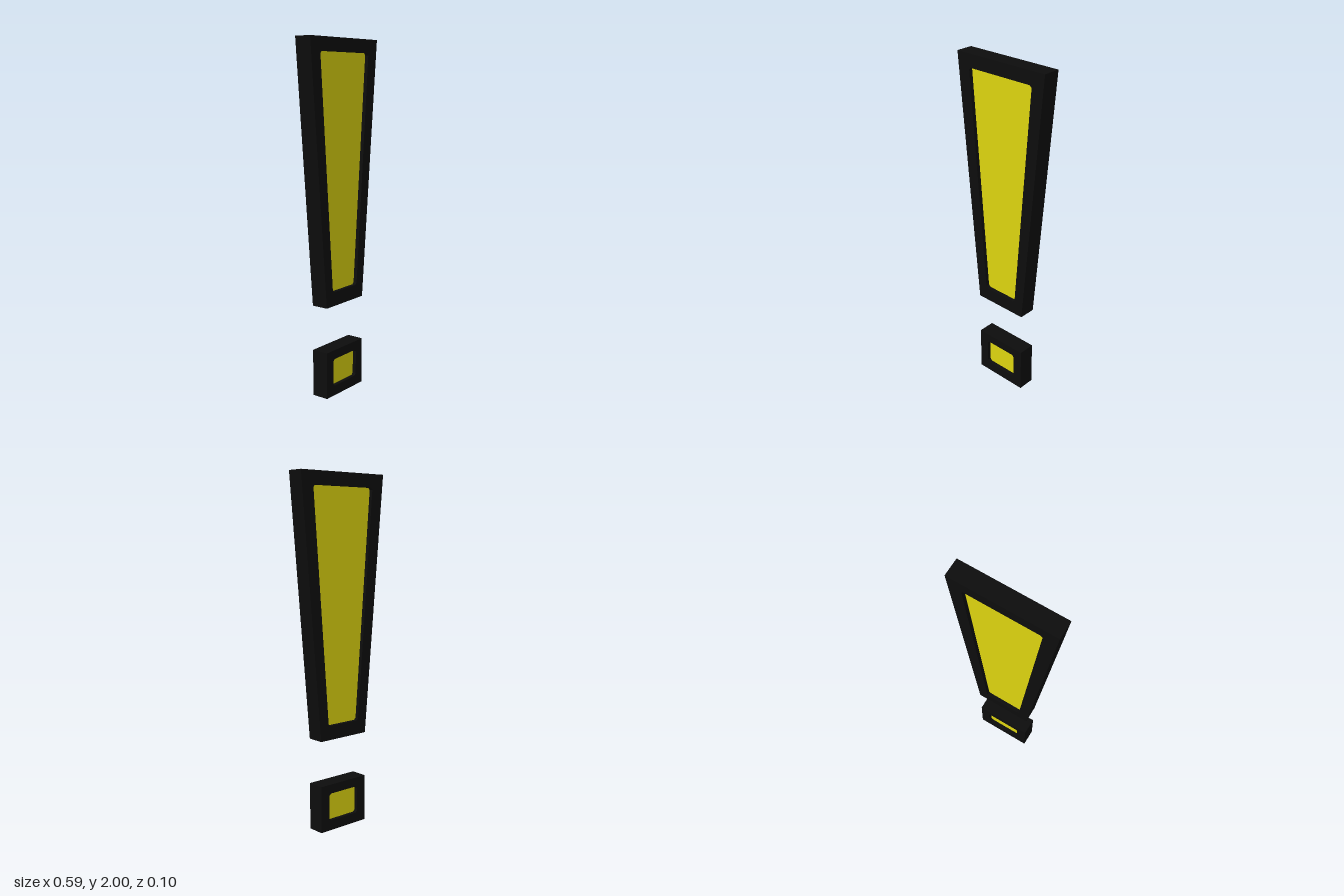
import * as THREE from 'three';

const DEPTH = 0.1; // frame thickness
const RECESS = 0.022; // how far the panels sit behind the frame faces

// Trapezoid outline, optionally with tiny cut corners
function outline(Target, yBottom, halfBottom, yTop, halfTop, cut = 0) {
  const corners = [[-halfBottom, yBottom], [halfBottom, yBottom], [halfTop, yTop], [-halfTop, yTop]]
    .map(([x, y]) => new THREE.Vector2(x, y));
  if (!cut) return new Target(corners);
  const points = [];
  corners.forEach((corner, i) => {
    for (const other of [corners[(i + 3) % 4], corners[(i + 1) % 4]]) {
      points.push(other.clone().sub(corner).setLength(cut).add(corner));
    }
  });
  return new Target(points);
}

function extrude(shape, depth) {
  const geometry = new THREE.ExtrudeGeometry(shape, { depth, bevelEnabled: false });
  return geometry.translate(0, 0, -depth / 2);
}

export function createModel() {
  const black = new THREE.MeshStandardMaterial({ name: 'black', color: 0x0d0d0d });
  const yellow = new THREE.MeshStandardMaterial({ name: 'yellow', color: 0xddd40f });
  const model = new THREE.Group();
  model.name = 'exclamationMark';

  // Each part is a frame with a recessed panel visible from both sides
  const parts = [
    { name: 'stroke', outer: [0.53, 0.166, 2, 0.297], inner: [0.61, 0.111, 1.925, 0.215] },
    { name: 'dot', outer: [0, 0.166, 0.27, 0.166], inner: [0.058, 0.107, 0.217, 0.107] },
  ];
  for (const { name, outer, inner } of parts) {
    const part = new THREE.Group();
    part.name = name;

    const frameShape = outline(THREE.Shape, ...outer);
    frameShape.holes.push(outline(THREE.Path, ...inner, 0.012));
    const frame = new THREE.Mesh(extrude(frameShape, DEPTH), black);
    frame.name = name + 'Frame';

    const panelShape = outline(THREE.Shape, ...inner, 0.012);
    const panel = new THREE.Mesh(extrude(panelShape, DEPTH - 2 * RECESS), yellow);
    panel.name = name + 'Panel';

    part.add(frame, panel);
    model.add(part);
  }
  return model;
}
